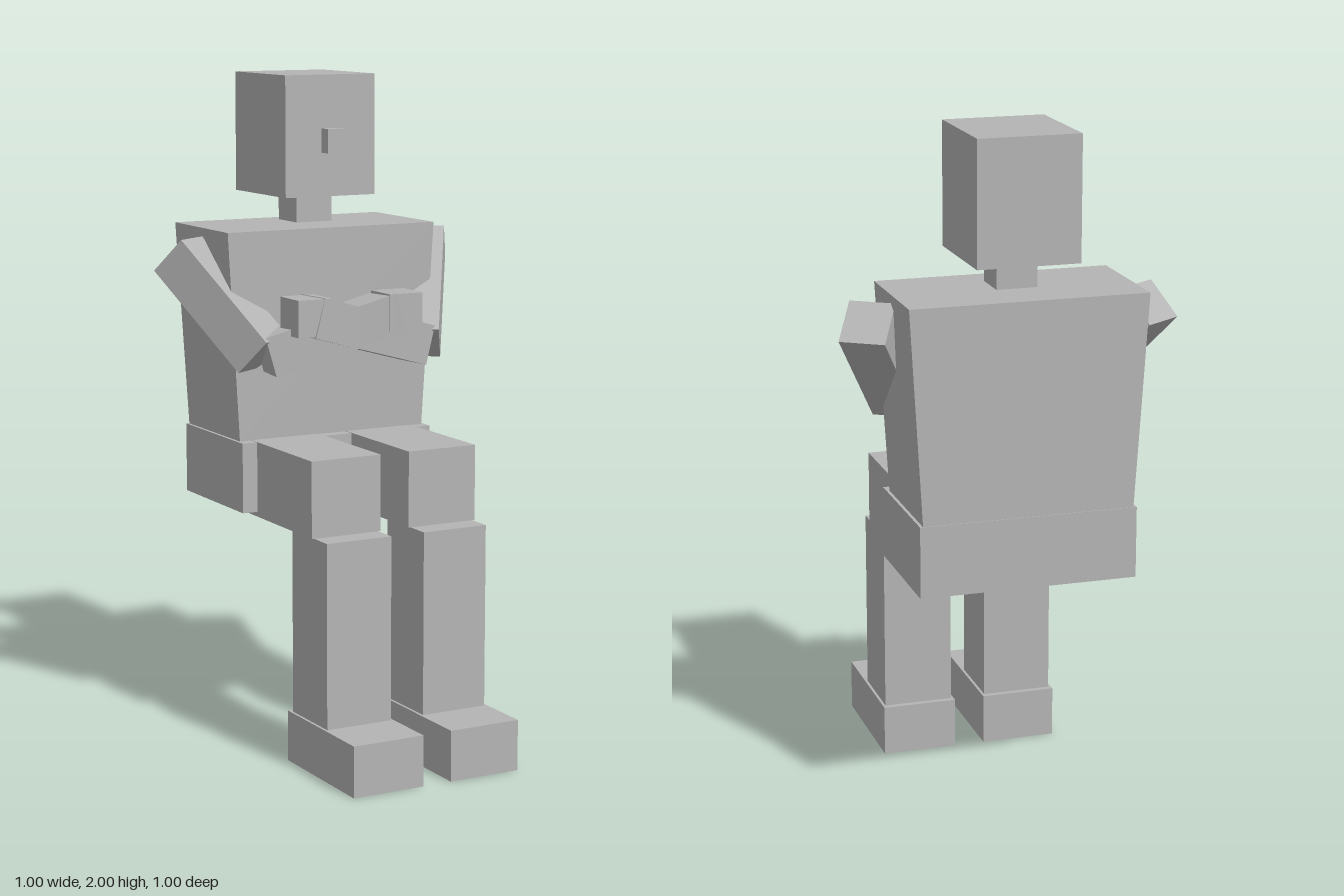
import * as THREE from 'three';

export function createModel() {
  const model = new THREE.Group();
  model.name = 'seatedFigure';
  const grey = new THREE.MeshStandardMaterial({ color: 0xb4b4b4 });
  grey.name = 'plain grey';

  const add = (name, geometry) => {
    const mesh = new THREE.Mesh(geometry, grey);
    mesh.name = name;
    model.add(mesh);
    return mesh;
  };

  // Upright block given by its extents
  const block = (name, x0, x1, y0, y1, z0, z1) => {
    const mesh = add(name, new THREE.BoxGeometry(x1 - x0, y1 - y0, z1 - z0));
    mesh.position.set((x0 + x1) / 2, (y0 + y1) / 2, (z0 + z1) / 2);
    return mesh;
  };

  // Square bar running from a to b, one side lying level
  const bar = (name, a, b, size) => {
    const start = new THREE.Vector3(...a), end = new THREE.Vector3(...b);
    const along = end.clone().sub(start);
    const mesh = add(name, new THREE.BoxGeometry(size, along.length(), size));
    along.normalize();
    const level = new THREE.Vector3(0, 1, 0).cross(along).normalize();
    const third = new THREE.Vector3().crossVectors(level, along);
    mesh.quaternion.setFromRotationMatrix(new THREE.Matrix4().makeBasis(level, along, third));
    mesh.position.copy(start).add(end).multiplyScalar(0.5);
  };

  // Head, nose and neck
  block('head', -0.15, 0.15, 1.64, 2, -0.48, -0.147);
  block('nose', -0.03, 0.03, 1.77, 1.842, -0.15, -0.107);
  block('neck', -0.06, 0.06, 1.555, 1.64, -0.37, -0.252);

  // Torso narrowing towards the waist
  const torso = block('torso', -0.348, 0.348, 0.925, 1.548, -0.498, -0.133);
  const p = torso.geometry.attributes.position;
  for (let i = 0; i < p.count; i++) {
    if (p.getY(i) < 0) {
      p.setX(i, p.getX(i) * 0.893);
      p.setZ(i, p.getZ(i) * 0.97);
    }
  }
  torso.geometry.computeVertexNormals();
  block('pelvis', -0.32, 0.32, 0.715, 0.925, -0.495, -0.102);

  // Limbs, mirrored; the folded forearms cross in front of the chest
  for (const [side, s] of [['left', 1], ['right', -1]]) {
    const pair = (name, x0, x1, ...rest) =>
      block(side + name, Math.min(s * x0, s * x1), Math.max(s * x0, s * x1), ...rest);
    pair('Thigh', 0.047, 0.272, 0.7, 0.926, -0.386, 0.245);
    pair('Shin', 0.054, 0.264, 0.15, 0.7, 0.108, 0.322);
    pair('Foot', 0.046, 0.272, 0, 0.152, 0.09, 0.497);
    bar(side + 'UpperArm', [s * 0.418, 1.475, -0.317], [s * 0.26, 1.189, -0.077], 0.135);
    bar(side + 'Forearm', [s * 0.26, 1.19, -0.072], [s * -0.145, 1.304, -0.013], 0.121);
    pair('Hand', -0.208, -0.097, 1.25, 1.36, -0.072, 0.043);
  }

  return model;
}
